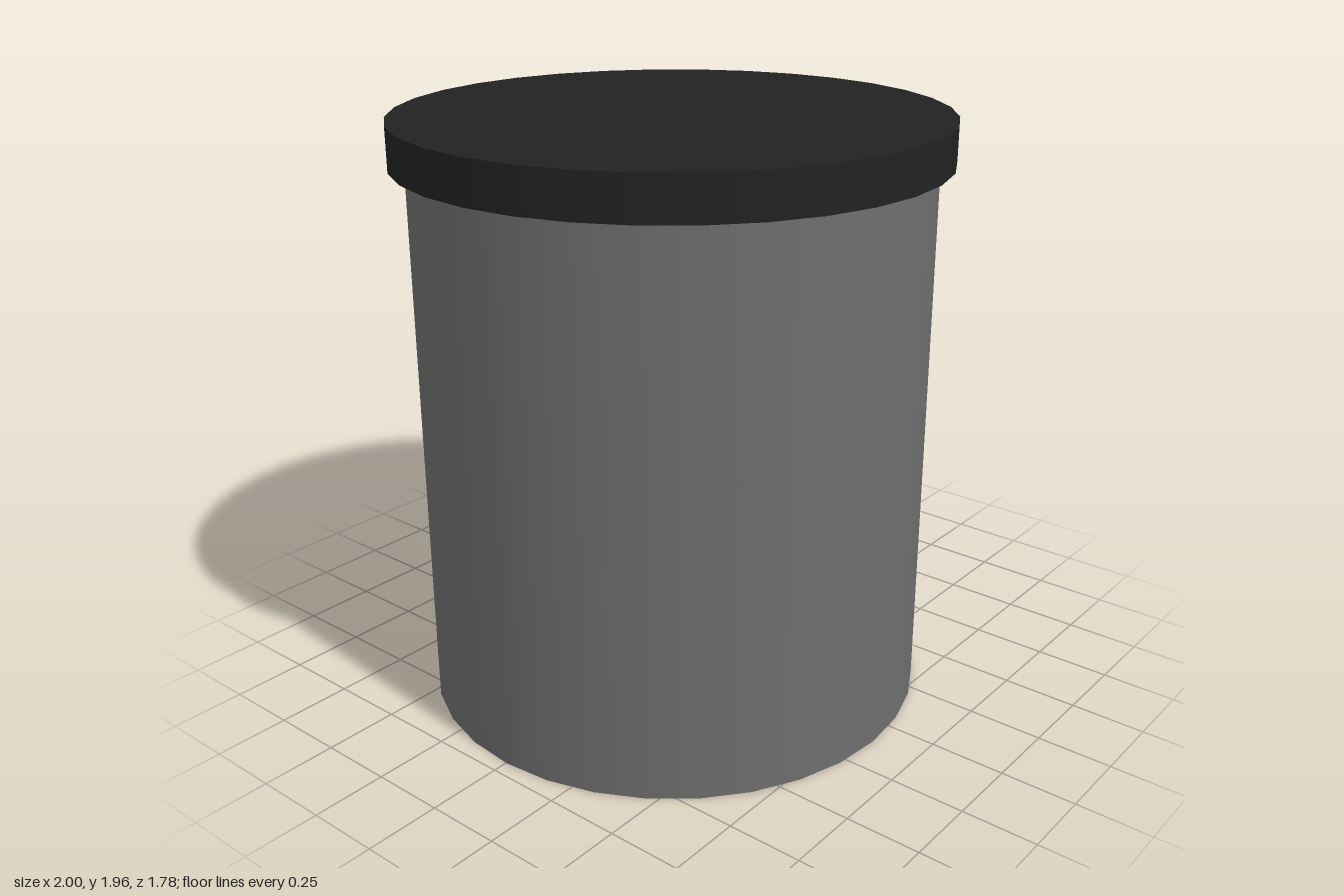
import * as THREE from 'three';

const R = 0.84;            // body radius
const SIDES = 32;
const HALF = Math.PI / 8;  // half angle of the pedal opening
const OPEN_LOW = 0.025, OPEN_HIGH = 0.39, RECESS_X = 0.61;

const material = (color, side = THREE.FrontSide) =>
  new THREE.MeshStandardMaterial({ color, side });

function add(parent, name, geometry, mat) {
  const mesh = new THREE.Mesh(geometry, mat);
  mesh.name = name;
  parent.add(mesh);
  return mesh;
}

// Horizontal outline with a straight inner edge and a curved outer edge
function arcOutline(radius, half, innerX) {
  const z = radius * Math.sin(half);
  const points = [new THREE.Vector2(innerX, -z)];
  for (let i = 0; i <= 4; i++) {
    const a = -half + (i / 4) * 2 * half;
    points.push(new THREE.Vector2(radius * Math.cos(a), radius * Math.sin(a)));
  }
  points.push(new THREE.Vector2(innerX, z));
  return new THREE.Shape(points);
}

// Flat plate lying in xz with its top at the given height
function plate(shape, top, thickness) {
  return new THREE.ExtrudeGeometry(shape, { depth: thickness, bevelEnabled: false })
    .rotateX(Math.PI / 2).translate(0, top, 0);
}

export function createModel() {
  const model = new THREE.Group();
  model.name = 'pedalBin';
  const bin = new THREE.Group();
  bin.name = 'bin';
  bin.position.x = -0.11;
  model.add(bin);

  const grey = material(0x6e6e6e, THREE.DoubleSide);
  const dark = material(0x222222);
  const darkThin = material(0x222222, THREE.DoubleSide);

  // Round wall in three bands, the middle one open for the pedal
  const wall = (name, y0, y1, start, length, segments) =>
    add(bin, name, new THREE.LatheGeometry(
      [new THREE.Vector2(R, y0), new THREE.Vector2(R, y1)], segments, start, length), grey);
  wall('bodyFoot', 0, OPEN_LOW, 0, Math.PI * 2, SIDES);
  wall('bodyAroundOpening', OPEN_LOW, OPEN_HIGH, Math.PI / 2 + HALF, Math.PI * 2 - 2 * HALF, SIDES - 4);
  wall('bodyUpper', OPEN_HIGH, 1.82, 0, Math.PI * 2, SIDES);

  // Closed underside
  add(bin, 'base', new THREE.CircleGeometry(R, SIDES).rotateX(Math.PI / 2), dark);

  // Recess behind the opening
  const recess = new THREE.Group();
  recess.name = 'pedalRecess';
  bin.add(recess);
  const height = OPEN_HIGH - OPEN_LOW, midY = (OPEN_HIGH + OPEN_LOW) / 2;
  const edgeX = R * Math.cos(HALF), edgeZ = R * Math.sin(HALF);
  add(recess, 'recessBack', new THREE.PlaneGeometry(2 * edgeZ, height)
    .rotateY(Math.PI / 2).translate(RECESS_X, midY, 0), darkThin);
  for (const side of [-1, 1]) {
    add(recess, 'recessSide', new THREE.PlaneGeometry(edgeX - RECESS_X, height)
      .translate((edgeX + RECESS_X) / 2, midY, side * edgeZ), darkThin);
  }
  for (const [name, y] of [['recessFloor', OPEN_LOW], ['recessCeiling', OPEN_HIGH]]) {
    add(recess, name, new THREE.ShapeGeometry(arcOutline(R, HALF, RECESS_X))
      .rotateX(Math.PI / 2).translate(0, y, 0), darkThin);
  }

  // Foot pedal resting on the recess floor
  add(bin, 'pedal', plate(arcOutline(0.82, 0.36, RECESS_X), 0.045, 0.019), dark);

  // Lid with its slightly turned lifting tab
  add(bin, 'lid', new THREE.CylinderGeometry(0.89, 0.89, 0.14, SIDES).translate(0, 1.885, 0), dark);
  const tab = new THREE.Shape([
    [0.8, -0.18], [1.09, -0.155], [1.11, 0.01], [1.09, 0.2], [1.04, 0.36], [0.75, 0.325],
  ].map(([x, z]) => new THREE.Vector2(x, z)));
  add(bin, 'lidTab', plate(tab, 1.835, 0.018), dark);

  return model;
}
